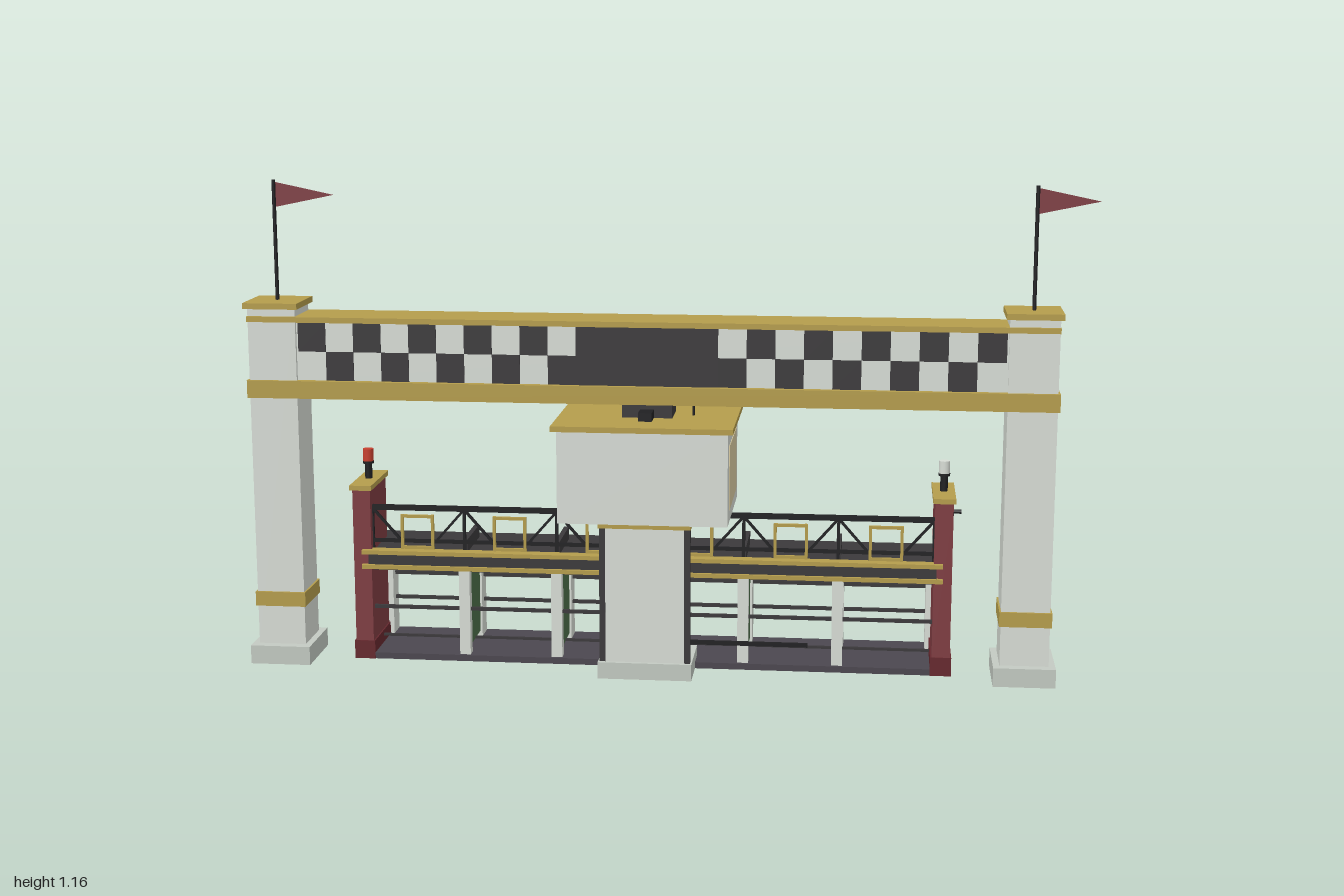
import * as THREE from 'three';

const mat = (color, side = THREE.FrontSide) => new THREE.MeshStandardMaterial({ color, side });
const WHITE = mat(0xd8ddd6), STONE = mat(0xc3cac2), GOLD = mat(0xb59d4c), DARK = mat(0x3b393b), BLACK = mat(0x202022),
  RED = mat(0x7f3d42), MAROON = mat(0x66282e), GREEN = mat(0x4c6e49), TAN = mat(0xdacca2), FLOOR = mat(0x4b474f),
  LAMP_RED = mat(0xc8402f), FLAG = mat(0x7f3d42, THREE.DoubleSide);

export function createModel() {
  const model = new THREE.Group();
  model.name = 'startingGate';
  const root = new THREE.Group(); // the structure is symmetric about this group's x = 0
  root.name = 'structure';
  root.position.x = -0.04;
  model.add(root);

  const add = (name, geo, material, x, y, z) => {
    const m = new THREE.Mesh(geo, material);
    m.name = name;
    m.position.set(x, y, z);
    root.add(m);
    return m;
  };
  // box given by centre x, width, then y and z ranges
  const box = (name, material, x, w, y0, y1, z0, z1) =>
    add(name, new THREE.BoxGeometry(w, y1 - y0, z1 - z0), material, x, (y0 + y1) / 2, (z0 + z1) / 2);
  const rod = (name, material, x, y, z, r, len, axis = 'y', r2 = r) => {
    const m = add(name, new THREE.CylinderGeometry(r, r2, len, 12), material, x, y, z);
    if (axis === 'x') m.rotation.z = Math.PI / 2;
    if (axis === 'z') m.rotation.x = Math.PI / 2;
    return m;
  };
  // thin square bar between two points in a plane of constant z
  const bar = (name, material, x0, y0, x1, y1, z, t) => {
    const m = add(name, new THREE.BoxGeometry(Math.hypot(x1 - x0, y1 - y0), t, t), material, (x0 + x1) / 2, (y0 + y1) / 2, z);
    m.rotation.z = Math.atan2(y1 - y0, x1 - x0);
  };

  // Towers with flags
  const flagShape = new THREE.Shape([[0, 0.03], [0.143, 0], [0, -0.03]].map(p => new THREE.Vector2(...p)));
  for (const s of [-1, 1]) {
    const x = s * 0.887;
    box('towerBase', STONE, x, 0.145, 0, 0.045, -0.049, 0.117);
    box('towerShaft', WHITE, x, 0.114, 0.045, 0.865, -0.026, 0.093);
    box('towerBand', GOLD, x, 0.122, 0.14, 0.175, -0.032, 0.099);
    box('towerCap', GOLD, x, 0.13, 0.862, 0.876, -0.037, 0.105);
    rod('flagPole', BLACK, x, 1.017, 0.034, 0.0045, 0.286);
    add('flag', new THREE.ShapeGeometry(flagShape), FLAG, x, 1.125, 0.034);
  }

  // Overhead beam with checkered panels
  box('beamBody', WHITE, 0, 1.68, 0.69, 0.835, -0.016, 0.084);
  box('beamLowerTrim', GOLD, 0, 1.898, 0.65, 0.692, -0.034, 0.101);
  box('beamUpperTrim', GOLD, 0, 1.89, 0.831, 0.844, -0.034, 0.101);
  box('beamSign', DARK, 0, 0.332, 0.692, 0.831, -0.02, 0.088);
  const cw = 0.066, ch = 0.0685;
  for (const s of [-1, 1]) for (let i = 0; i < 10; i++) {
    const x = s < 0 ? -0.826 + (i + 0.5) * cw : 0.166 + (i + 0.5) * cw;
    const top = (i % 2 === 0) === (s < 0);
    const y = top ? 0.7605 : 0.692;
    box('checker', DARK, x, cw, y, y + ch, -0.018, 0.086);
  }

  // Control booth
  box('boothBody', WHITE, 0, 0.395, 0.385, 0.605, -0.124, 0.192);
  box('boothRoof', GOLD, 0, 0.42, 0.603, 0.616, -0.14, 0.205);
  for (const s of [-1, 1]) {
    box('boothSideWindow', TAN, s * 0.197, 0.004, 0.415, 0.567, -0.078, 0.149);
    box('boothRearPane', TAN, s * 0.084, 0.154, 0.422, 0.566, -0.133, -0.128);
  }
  box('boothRearFrame', BLACK, 0, 0.35, 0.41, 0.578, -0.13, -0.122);
  rod('cameraBarrel', DARK, 0, 0.492, -0.162, 0.014, 0.076, 'z');
  rod('cameraHood', BLACK, 0, 0.492, -0.2, 0.019, 0.008, 'z');
  box('roofMount', DARK, 0, 0.118, 0.616, 0.652, -0.01, 0.08);
  box('roofSpeaker', BLACK, 0, 0.032, 0.616, 0.636, -0.06, 0.127);
  rod('roofAntenna', BLACK, 0.105, 0.635, 0.034, 0.003, 0.04);

  // Booth column
  box('columnBase', STONE, 0, 0.222, 0, 0.04, -0.01, 0.149);
  box('columnShaft', WHITE, 0, 0.19, 0.04, 0.366, 0, 0.139);
  box('columnCap', GOLD, 0, 0.218, 0.365, 0.385, -0.01, 0.149);
  for (const s of [-1, 1]) box('columnEdge', DARK, s * 0.1, 0.014, 0.04, 0.365, 0.123, 0.14);

  // Red end posts with lamps
  for (const s of [-1, 1]) {
    const x = s * 0.695, z = -0.034;
    box('endPostFoot', MAROON, x, 0.05, 0, 0.045, -0.117, 0.049);
    box('endPost', RED, x, 0.043, 0.04, 0.42, -0.115, 0.047);
    box('endPostCap', GOLD, x, 0.053, 0.42, 0.432, -0.124, 0.056);
    rod('lampStand', BLACK, x, 0.453, z, 0.009, 0.042);
    rod('lamp', s < 0 ? LAMP_RED : WHITE, x, 0.489, z, 0.013, 0.032);
    rod('lampCollar', BLACK, x, 0.472, z, 0.014, 0.006);
    rod('latchPin', BLACK, s * 0.727, 0.375, -0.063, 0.005, 0.024, 'x');
    box('latchPlate', BLACK, s * 0.718, 0.006, 0.365, 0.385, -0.067, -0.059);
  }

  // Gate floor, canopy and striped front beam
  box('gateFloor', FLOOR, 0, 1.38, 0, 0.015, -0.176, 0.047);
  box('gateCanopy', DARK, 0, 1.385, 0.236, 0.266, -0.176, 0.035);
  box('frontBeam', DARK, 0, 1.36, 0.236, 0.266, 0.03, 0.052);
  for (const y of [0.228, 0.264]) box('frontBeamStripe', GOLD, 0, 1.39, y, y + 0.01, 0.03, 0.06);

  // Stall dividers with padded panels and canopy fins
  const pitch = 0.2245;
  for (let i = -3; i <= 3; i++) {
    const x = i * pitch, end = Math.abs(i) === 3;
    box('dividerRearPost', WHITE, x, 0.026, 0.015, 0.236, -0.17, -0.115);
    if (end) continue;
    box('dividerFrontPost', WHITE, x, 0.026, 0.015, 0.236, 0.015, 0.04);
    box('dividerPad', GREEN, x, 0.016, 0.03, 0.22, -0.116, 0.016);
    box('canopyFin', DARK, x, 0.012, 0.266, 0.297, -0.133, 0.02);
  }

  // Stall rails
  for (const y of [0.1, 0.163]) box('rearRail', DARK, 0, 1.35, y, y + 0.008, -0.146, -0.138);
  for (const y of [0.122, 0.218]) box('frontRail', DARK, 0, 1.35, y, y + 0.008, 0.02, 0.028);
  box('lowRail', DARK, 0, 1.35, 0.03, 0.036, -0.05, -0.044);
  box('openBar', BLACK, 0.24, 0.28, 0.065, 0.074, 0.056, 0.065);

  // Truss above the canopy, with a small frame in each bay
  const tz = 0.025, lo = 0.292, hi = 0.372;
  box('trussTopRail', BLACK, 0, 1.36, 0.368, 0.38, tz - 0.006, tz + 0.006);
  box('trussLowRail', BLACK, 0, 1.36, 0.288, 0.296, tz - 0.004, tz + 0.004);
  for (let i = -3; i <= 3; i++) bar('trussUpright', BLACK, i * pitch, 0.264, i * pitch, hi, tz, 0.007);
  for (let i = -3; i < 3; i++) {
    const a = i * pitch, c = a + pitch / 2;
    bar('trussBrace', BLACK, a, hi, a + 0.07, lo, tz, 0.006);
    bar('trussBrace', BLACK, a + pitch - 0.07, lo, a + pitch, hi, tz, 0.006);
    for (const s of [-1, 1]) {
      bar('bayFrameSide', GOLD, c + s * 0.037, 0.275, c + s * 0.037, 0.36, tz + 0.012, 0.007);
      const y = s < 0 ? 0.279 : 0.356;
      bar('bayFrameRail', GOLD, c - 0.04, y, c + 0.04, y, tz + 0.012, 0.007);
    }
  }
  return model;
}
